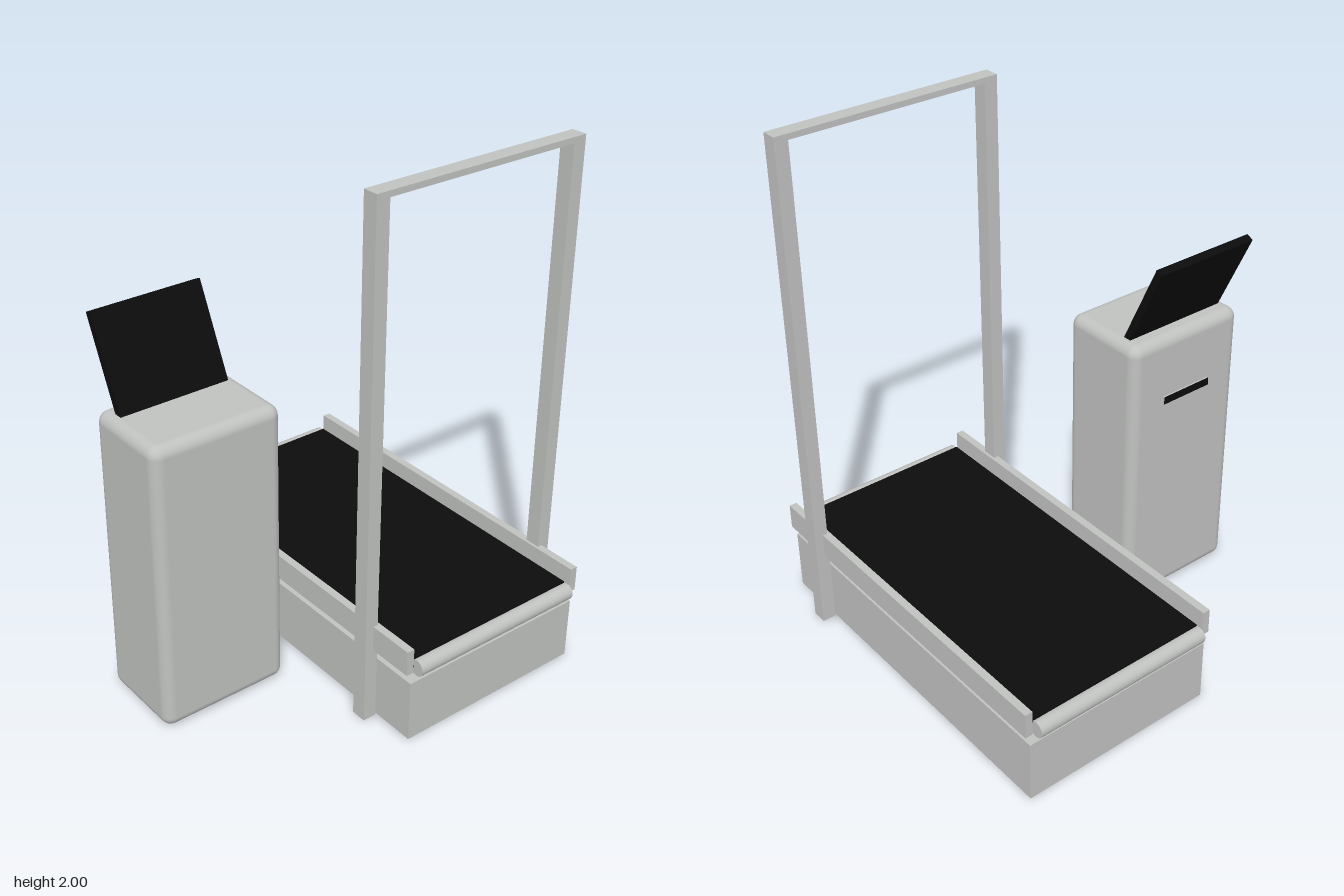
import * as THREE from 'three';
import { RoundedBoxGeometry } from 'three/addons/geometries/RoundedBoxGeometry.js';

export function createModel() {
  const model = new THREE.Group();
  model.name = 'conveyorWithKiosk';

  const grey = new THREE.MeshStandardMaterial({ color: 0xc0c2c0 });
  grey.name = 'light grey';
  const black = new THREE.MeshStandardMaterial({ color: 0x0c0c0c });
  black.name = 'black';

  function add(name, geometry, material, x, y, z, parent = model) {
    const mesh = new THREE.Mesh(geometry, material);
    mesh.name = name;
    mesh.position.set(x, y, z);
    parent.add(mesh);
    return mesh;
  }
  const box = (w, h, d) => new THREE.BoxGeometry(w, h, d);

  // Conveyor, centred on its own axis
  const conveyor = new THREE.Group();
  conveyor.name = 'conveyor';
  conveyor.position.x = 0.295;
  model.add(conveyor);

  add('base', box(0.786, 0.245, 1.46), grey, 0, 0.1325, 0, conveyor);
  add('belt', box(0.735, 0.04, 1.43), black, 0, 0.326, 0, conveyor);

  // Rollers at both ends of the belt
  for (const s of [-1, 1]) {
    const roller = new THREE.CylinderGeometry(0.032, 0.032, 0.735, 20).rotateZ(Math.PI / 2);
    add(s > 0 ? 'frontRoller' : 'backRoller', roller, grey, 0, 0.312, s * 0.729, conveyor);
  }

  // Side rails and the posts of the arch
  for (const s of [-1, 1]) {
    const side = s > 0 ? 'left' : 'right';
    add(side + 'Rail', box(0.03, 0.1, 1.46), grey, s * 0.397, 0.35, 0, conveyor);
    add(side + 'Post', box(0.053, 2, 0.06), grey, s * 0.4195, 1, 0.52, conveyor);
  }
  add('archBeam', box(0.786, 0.022, 0.06), grey, 0, 1.989, 0.52, conveyor);

  // Kiosk standing beside the conveyor
  const kiosk = new THREE.Group();
  kiosk.name = 'kiosk';
  kiosk.position.x = -0.486;
  model.add(kiosk);

  add('kioskBody', new RoundedBoxGeometry(0.518, 1.145, 0.362, 5, 0.042), grey, 0, 0.5825, 0, kiosk);

  // Tilted screen, its front lower edge on the body top
  const screen = new THREE.Group();
  screen.name = 'screenMount';
  screen.position.set(0, 1.155, -0.077);
  screen.rotation.x = -0.437;
  kiosk.add(screen);
  add('screen', box(0.435, 0.386, 0.03), black, 0, 0.173, -0.015, screen);

  // Slot on the back of the body
  add('slotFrame', box(0.22, 0.03, 0.008), grey, 0, 0.895, -0.183, kiosk);
  add('slot', box(0.22, 0.03, 0.002), black, 0, 0.895, -0.188, kiosk);

  return model;
}
